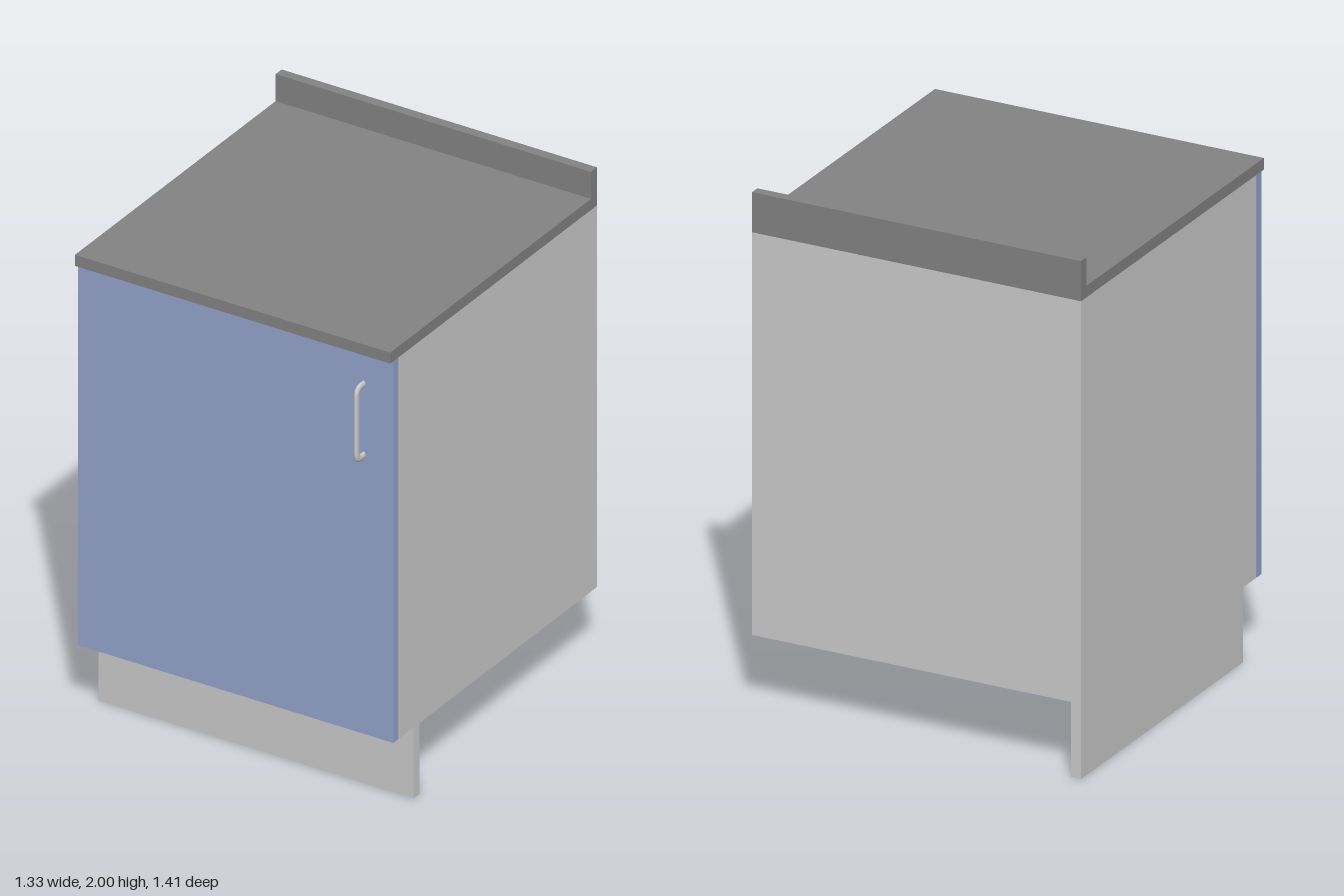
import * as THREE from 'three';

const W = 1.33;          // overall width
const T = 0.04;          // board thickness
const BASE = 0.29;       // underside of the carcass
const TOP = 1.845;       // underside of the worktop
const BACK = -0.705;     // rear plane
const BODY_FRONT = 0.605;
const PLINTH_FRONT = 0.51;

const grey = new THREE.MeshStandardMaterial({ color: 0xcccccc });
const stone = new THREE.MeshStandardMaterial({ color: 0x838383 });
const blue = new THREE.MeshStandardMaterial({ color: 0x95a4cb });

// Board given by its limits on each axis
function board(name, [x0, x1], [y0, y1], [z0, z1], material = grey) {
  const mesh = new THREE.Mesh(new THREE.BoxGeometry(x1 - x0, y1 - y0, z1 - z0), material);
  mesh.position.set((x0 + x1) / 2, (y0 + y1) / 2, (z0 + z1) / 2);
  mesh.name = name;
  return mesh;
}

// Solid across the width from an outline of [z, y] points
function profile(name, points, x0, x1, material) {
  const shape = new THREE.Shape(points.map(([z, y]) => new THREE.Vector2(z, y)));
  const geo = new THREE.ExtrudeGeometry(shape, { depth: x1 - x0, bevelEnabled: false });
  geo.rotateY(-Math.PI / 2).translate(x1, 0, 0);
  const mesh = new THREE.Mesh(geo, material);
  mesh.name = name;
  return mesh;
}

// Bow handle: a bent bar with rounded corners and an oval section
function handle() {
  const v = (y, z) => new THREE.Vector3(0, y, z);
  const [low, high, root, out, r] = [1.426, 1.716, 0.63, 0.691, 0.028];
  const path = new THREE.CurvePath();
  path.add(new THREE.LineCurve3(v(high, root), v(high, out - r)));
  path.add(new THREE.QuadraticBezierCurve3(v(high, out - r), v(high, out), v(high - r, out)));
  path.add(new THREE.LineCurve3(v(high - r, out), v(low + r, out)));
  path.add(new THREE.QuadraticBezierCurve3(v(low + r, out), v(low, out), v(low, out - r)));
  path.add(new THREE.LineCurve3(v(low, out - r), v(low, root)));
  const geo = new THREE.TubeGeometry(path, 96, 0.014, 16);
  geo.scale(0.6, 1, 1).translate(0.54, 0, 0);
  const mesh = new THREE.Mesh(geo, grey);
  mesh.name = 'handle';
  return mesh;
}

export function createModel() {
  const model = new THREE.Group();
  model.name = 'baseCabinet';
  const h = W / 2;
  const inner = [-h + T, h - T];

  // Carcass: one end panel reaches the floor, the other stops above it
  model.add(
    profile('floorLengthSidePanel', [
      [BACK, 0], [PLINTH_FRONT, 0], [PLINTH_FRONT, BASE],
      [BODY_FRONT, BASE], [BODY_FRONT, TOP], [BACK, TOP],
    ], -h, -h + T, grey),
    board('shortSidePanel', [h - T, h], [BASE, TOP], [BACK, BODY_FRONT]),
    board('backPanel', inner, [BASE, TOP], [BACK, BACK + T]),
    board('bottomPanel', inner, [BASE, BASE + T], [BACK + T, BODY_FRONT]),
    board('plinth', [-h + T, h], [0, BASE], [PLINTH_FRONT - T, PLINTH_FRONT]),
  );

  // Door with its handle
  model.add(board('door', [-h, h], [BASE, TOP], [BODY_FRONT + 0.005, 0.645], blue), handle());

  // Worktop with upstand along the back
  model.add(
    profile('worktop', [
      [BACK, TOP], [0.665, TOP], [0.665, 1.89],
      [BACK + T, 1.89], [BACK + T, 2], [BACK, 2],
    ], -h, h, stone),
  );
  return model;
}
